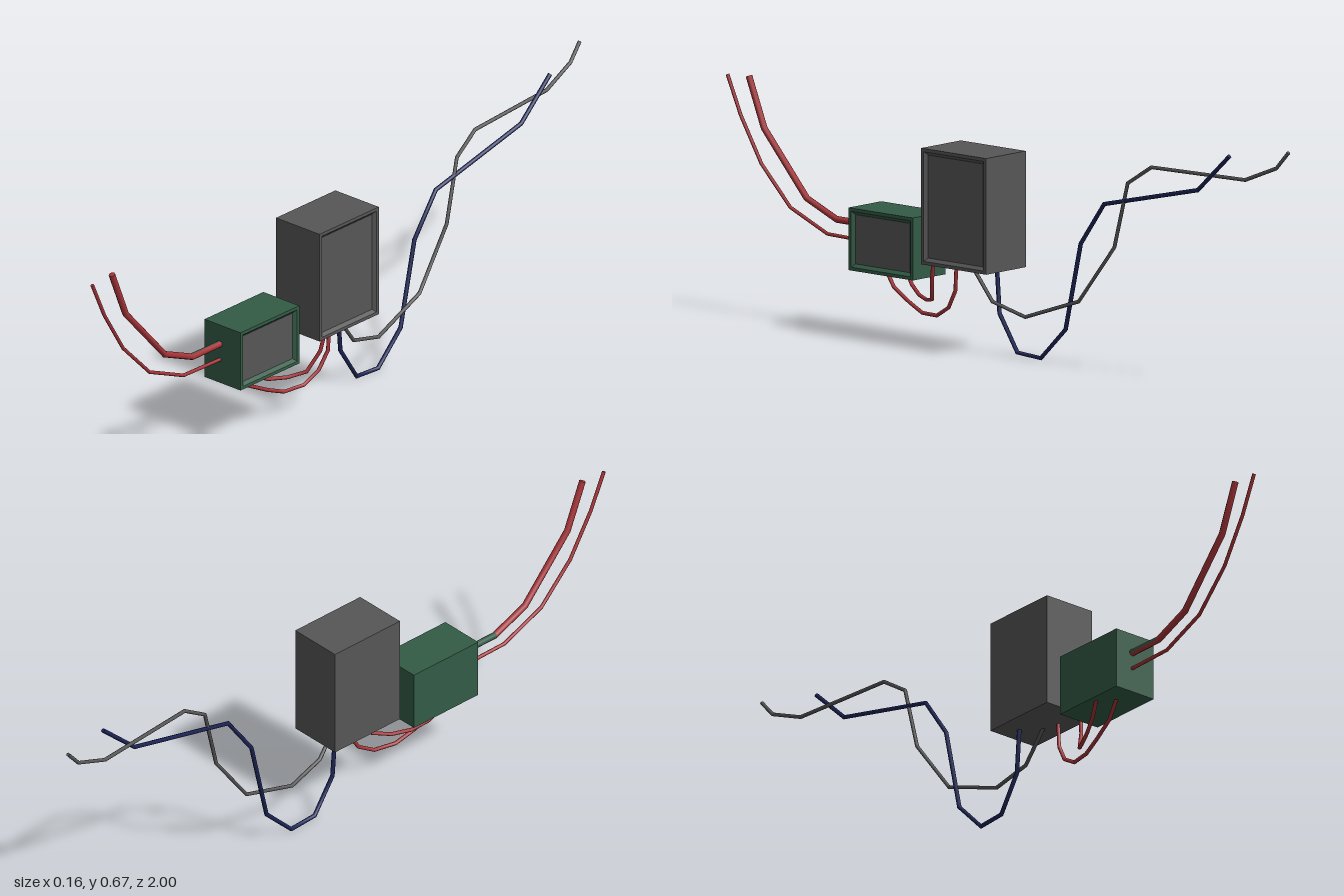
import * as THREE from 'three';
import { mergeGeometries } from 'three/addons/utils/BufferGeometryUtils.js';

const mat = (name, color) => {
  const m = new THREE.MeshStandardMaterial({ color });
  m.name = name;
  return m;
};

// Polyline tube: one mitred ring per point, closed with discs at both ends
function wire(name, points, radius, material) {
  const pts = points.map(p => new THREE.Vector3(...p));
  const last = pts.length - 1;
  const dir = i => pts[i + 1].clone().sub(pts[i]).normalize();
  const tangent = i => dir(Math.max(i - 1, 0)).add(dir(Math.min(i, last - 1))).normalize();
  const path = new THREE.Curve();
  path.getPointAt = u => pts[Math.round(u * last)].clone();
  path.getTangentAt = u => tangent(Math.round(u * last));
  const caps = [[0, -1], [last, 1]].map(([i, s]) => {
    const cap = new THREE.CircleGeometry(radius, 8);
    cap.applyQuaternion(new THREE.Quaternion().setFromUnitVectors(
      new THREE.Vector3(0, 0, 1), tangent(i).multiplyScalar(s)));
    return cap.translate(pts[i].x, pts[i].y, pts[i].z);
  });
  const mesh = new THREE.Mesh(mergeGeometries([new THREE.TubeGeometry(path, last, radius, 8), ...caps]), material);
  mesh.name = name;
  return mesh;
}

// Rectangular loops [inset, x] joined by flat strips, facing +x
function rimGeometry(h, d, loops) {
  const corners = [[-1, 1], [-1, -1], [1, -1], [1, 1]];
  const at = ([inset, x], i) => {
    const [sy, sz] = corners[i % 4];
    return [x, sy * (h / 2 - inset), sz * (d / 2 - inset)];
  };
  const pos = [];
  for (let k = 0; k < loops.length - 1; k++) {
    for (let i = 0; i < 4; i++) {
      const a = at(loops[k], i), b = at(loops[k], i + 1);
      const c = at(loops[k + 1], i + 1), e = at(loops[k + 1], i);
      pos.push(...a, ...b, ...c, ...a, ...c, ...e);
    }
  }
  const geo = new THREE.BufferGeometry();
  geo.setAttribute('position', new THREE.Float32BufferAttribute(pos, 3));
  geo.computeVertexNormals();
  return geo;
}

// Box body with a raised rim sloping down to a sunken panel on its +x side
function casing(name, min, max, bodyMat, panelMat) {
  const rim = 0.009, inner = 0.018, depth = 0.009;
  const g = new THREE.Group();
  g.name = name;
  const [w, h, d] = max.map((v, i) => v - min[i]);
  const [cx, cy, cz] = max.map((v, i) => (v + min[i]) / 2);
  const add = (part, geo, m, x) => {
    const mesh = new THREE.Mesh(geo, m);
    mesh.name = part;
    mesh.position.set(x, cy, cz);
    g.add(mesh);
  };
  add('body', new THREE.BoxGeometry(w - depth, h, d), bodyMat, cx - depth / 2);
  add('rim', rimGeometry(h, d, [[0, 0], [0, depth], [rim, depth], [inner, 0]]), bodyMat, max[0] - depth);
  add('panel', new THREE.BoxGeometry(0.002, h - 2 * inner, d - 2 * inner), panelMat, max[0] - depth);
  return g;
}

export function createModel() {
  const model = new THREE.Group();
  model.name = 'wiredModules';
  const grey = mat('darkGrey', 0x565656);
  const green = mat('green', 0x335b46);
  const red = mat('red', 0xa63438);
  const navy = mat('navy', 0x1b2354);

  // Two modules
  model.add(casing('largeModule', [-0.079, 0.233, -0.033], [0.078, 0.549, 0.203], grey, grey));
  model.add(casing('smallModule', [-0.077, 0.179, 0.256], [0.053, 0.349, 0.49], green, grey));

  // Leads at the front, all in one plane
  const flat = list => list.map(([z, y]) => [-0.022, y, z]);
  model.add(wire('thickFrontLead', flat([
    [0.48, 0.293], [0.60, 0.293], [0.71, 0.338], [0.865, 0.51], [0.92, 0.645]]), 0.009, red));
  model.add(wire('thinFrontLead', flat([
    [0.48, 0.247], [0.635, 0.25], [0.77, 0.306], [0.875, 0.412], [0.95, 0.535], [0.998, 0.64]]), 0.005, red));

  // Green strip along the upper right of the thick lead, next to the module
  const strip = new THREE.CylinderGeometry(0.0097, 0.0097, 0.11, 6, 1, true, Math.PI * 0.92, Math.PI * 0.67);
  const stripMesh = new THREE.Mesh(strip.rotateX(Math.PI / 2), green);
  stripMesh.name = 'leadStrip';
  stripMesh.position.set(-0.022, 0.293, 0.545);
  model.add(stripMesh);

  // Wires joining the modules underneath
  model.add(wire('innerJoiningWire', [
    [-0.058, 0.185, 0.385], [-0.04, 0.145, 0.345], [-0.02, 0.125, 0.30], [0.005, 0.121, 0.25],
    [0.033, 0.131, 0.205], [0.06, 0.192, 0.18], [0.066, 0.24, 0.17]], 0.0053, red));
  model.add(wire('outerJoiningWire', [
    [-0.02, 0.185, 0.425], [-0.013, 0.137, 0.385], [-0.003, 0.105, 0.32], [0.006, 0.084, 0.265],
    [0.019, 0.086, 0.20], [0.027, 0.115, 0.15], [0.033, 0.165, 0.12], [0.034, 0.24, 0.115]], 0.0053, red));

  // Trailing wires at the back
  model.add(wire('navyBackWire', flat([
    [0.02, 0.24], [0.01, 0.11], [-0.055, 0.011], [-0.14, 0.006], [-0.23, 0.095],
    [-0.285, 0.335], [-0.37, 0.453], [-0.71, 0.532], [-0.825, 0.638]]), 0.006, navy));
  model.add(wire('greyBackWire', [
    [0.07, 0.24], [0, 0.148], [-0.11, 0.118], [-0.29, 0.18], [-0.41, 0.34], [-0.455, 0.52],
    [-0.535, 0.572], [-0.85, 0.572], [-0.955, 0.615], [-0.996, 0.662],
  ].map(([z, y]) => [0.017 + 0.087 * z, y, z]), 0.0053, grey));
  return model;
}
